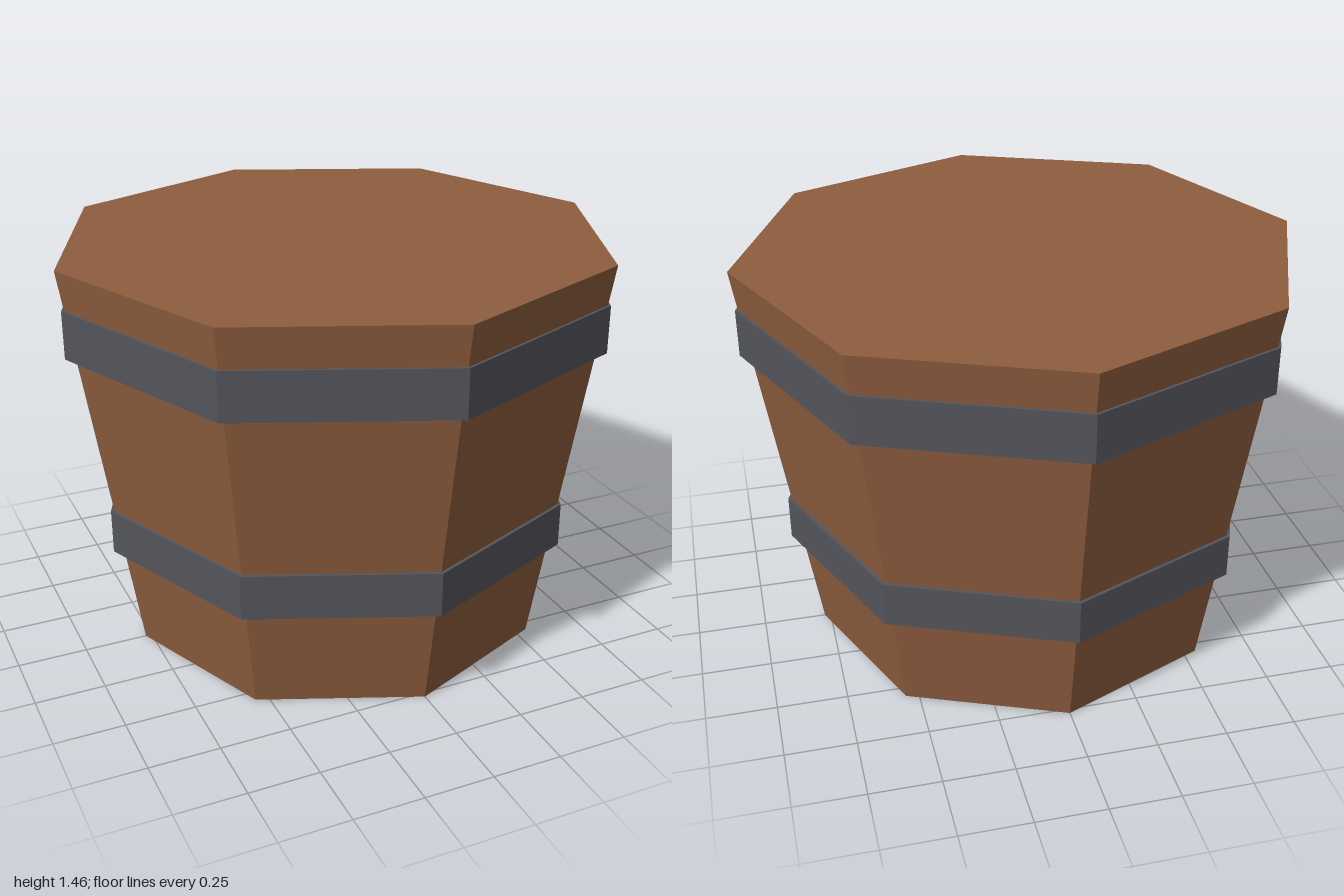
import * as THREE from 'three';

const SIDES = 8;

export function createModel() {
  const model = new THREE.Group();
  model.name = 'barrel';

  const wood = new THREE.MeshStandardMaterial({ color: 0x8f5e3f, flatShading: true });
  wood.name = 'brown wood';
  const iron = new THREE.MeshStandardMaterial({ color: 0x54555b, flatShading: true });
  iron.name = 'dark iron';

  // Eight-sided prism between two heights, with its own top and bottom radius
  function addPrism(name, material, bottom, top, bottomRadius, topRadius) {
    const geometry = new THREE.CylinderGeometry(topRadius, bottomRadius, top - bottom, SIDES);
    const mesh = new THREE.Mesh(geometry, material);
    mesh.name = name;
    mesh.position.y = (bottom + top) / 2;
    model.add(mesh);
  }

  // Tapered closed body
  addPrism('body', wood, 0, 1.46, 0.772, 1);

  // Straight hoops standing proud of the body
  addPrism('lowerHoop', iron, 0.385, 0.548, 0.87, 0.87);
  addPrism('upperHoop', iron, 1.148, 1.318, 0.988, 0.988);

  return model;
}
